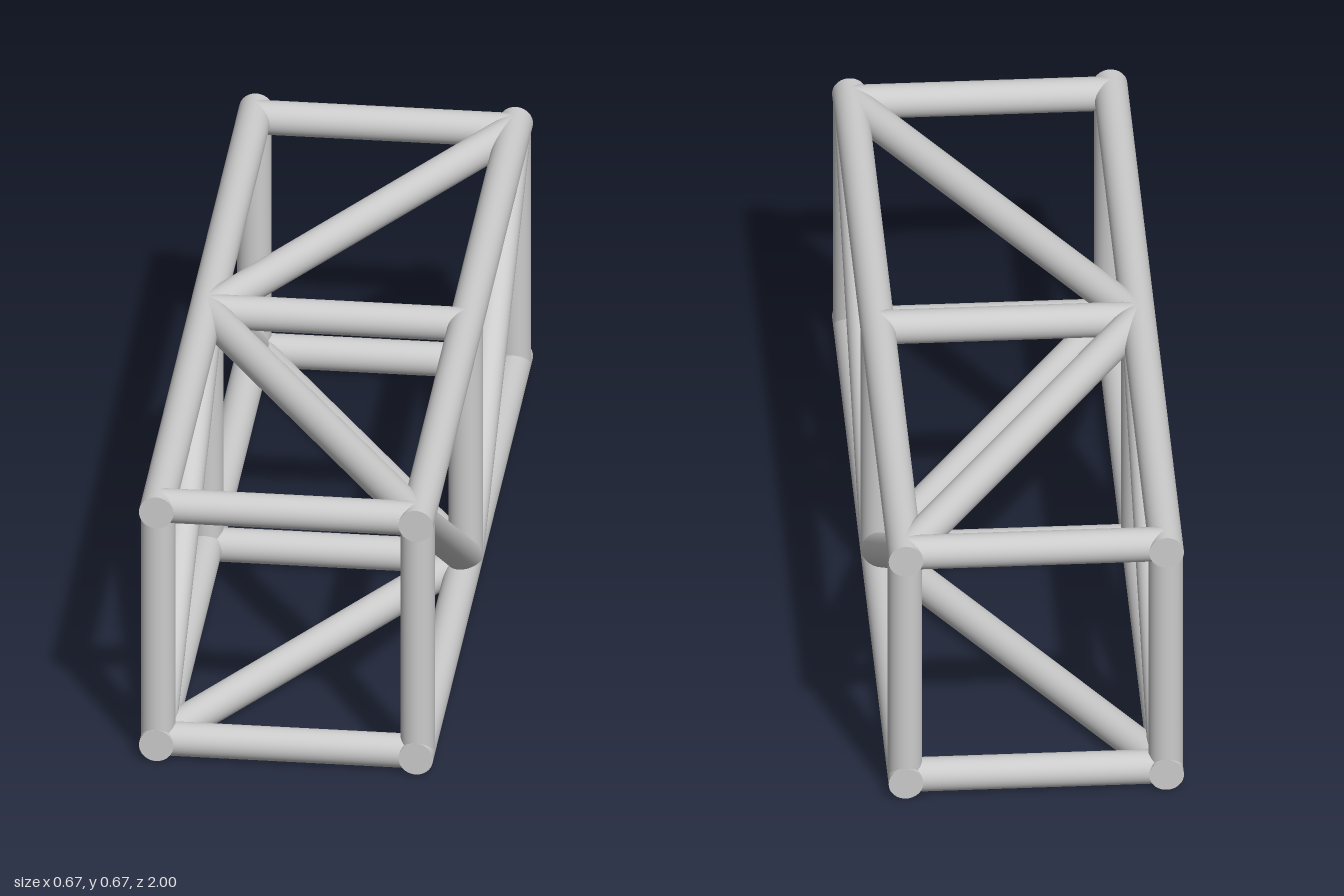
import * as THREE from 'three';

const R = 0.039;        // tube radius
const X = 0.294;        // chord offset from the centre line
const Y0 = R, Y1 = 0.628; // lower and upper chord heights
const Z = 1 - R;        // end frame position

export function createModel() {
  const group = new THREE.Group();
  const material = new THREE.MeshStandardMaterial({ color: 0xcccccc });
  const up = new THREE.Vector3(0, 1, 0);

  // Round tube between two points
  function tube(name, a, b) {
    const start = new THREE.Vector3(...a), end = new THREE.Vector3(...b);
    const dir = end.clone().sub(start);
    const mesh = new THREE.Mesh(new THREE.CylinderGeometry(R, R, dir.length(), 48), material);
    mesh.name = name;
    mesh.position.copy(start).add(end).multiplyScalar(0.5);
    mesh.quaternion.setFromUnitVectors(up, dir.normalize());
    group.add(mesh);
  }

  // Four long chords
  for (const x of [-X, X])
    for (const y of [Y0, Y1]) tube('chord', [x, y, -1], [x, y, 1]);

  // Three square frames
  for (const z of [-Z, 0, Z]) {
    for (const x of [-X, X]) tube('post', [x, Y0, z], [x, Y1, z]);
    for (const y of [Y0, Y1]) tube('crossbar', [-X, y, z], [X, y, z]);
  }

  // Diagonals of each bay, meeting at alternate corners of the frames
  for (const z of [-Z, Z]) {
    tube('leftDiagonal', [X, Y1, z], [X, Y0, 0]);
    tube('rightDiagonal', [-X, Y0, z], [-X, Y1, 0]);
    tube('topDiagonal', [X, Y1, z], [-X, Y1, 0]);
    tube('bottomDiagonal', [-X, Y0, z], [X, Y0, 0]);
  }

  return group;
}
